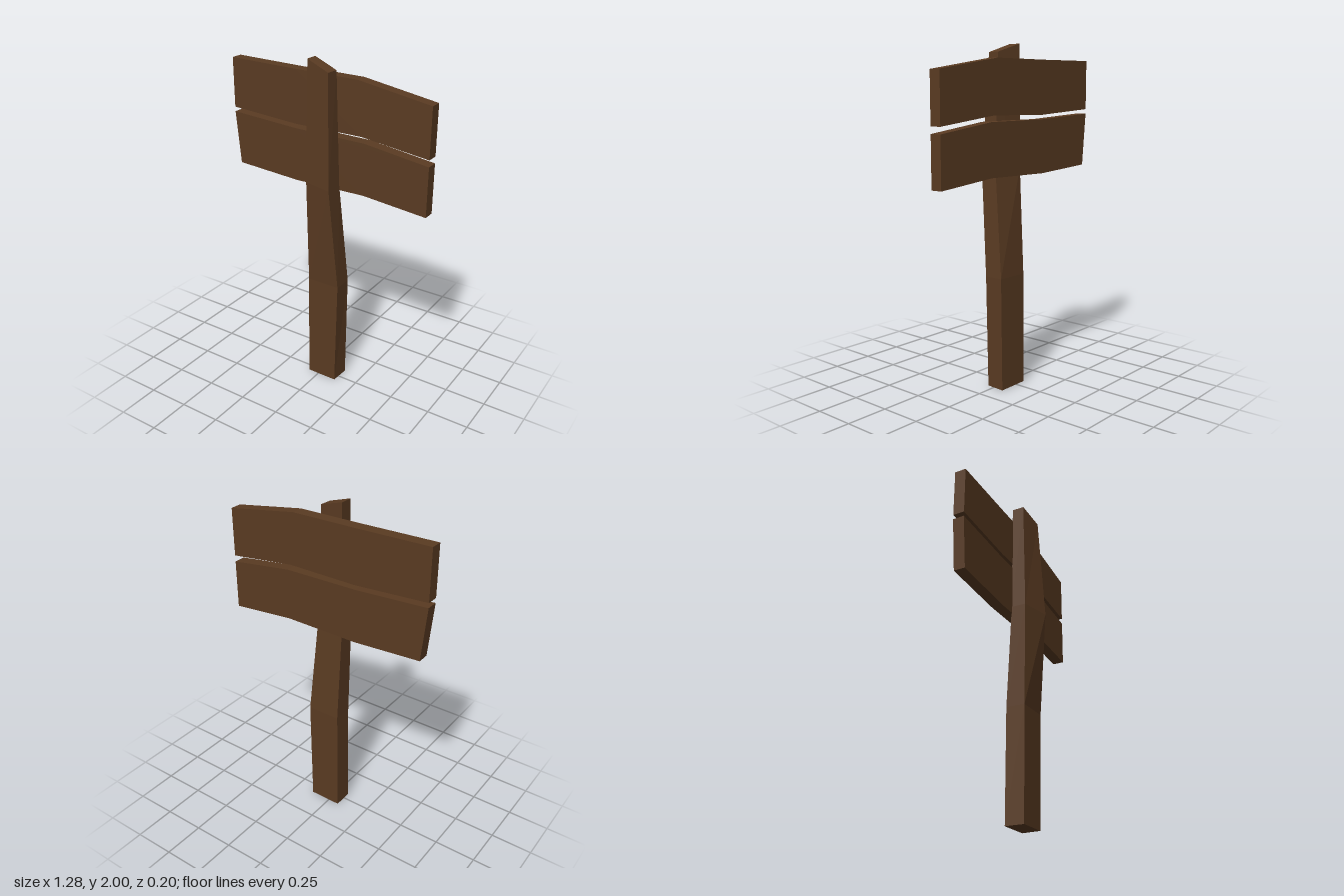
import * as THREE from 'three';

const wood = new THREE.MeshStandardMaterial({ color: 0x5a3b22 });
wood.name = 'dark brown wood';

// Faceted beam through four-cornered rings, listed bottom to top:
// front left, front right, back right, back left as seen from the front
function beam(rings) {
  const pos = [];
  const quad = (a, b, c, d) => [a, b, c, a, c, d].forEach(p => pos.push(...p));
  for (let i = 0; i < rings.length - 1; i++) {
    for (let j = 0; j < 4; j++) {
      const k = (j + 1) % 4;
      quad(rings[i][j], rings[i][k], rings[i + 1][k], rings[i + 1][j]);
    }
  }
  const top = rings[rings.length - 1];
  quad(top[0], top[1], top[2], top[3]);
  quad(rings[0][3], rings[0][2], rings[0][1], rings[0][0]);
  const geo = new THREE.BufferGeometry();
  geo.setAttribute('position', new THREE.Float32BufferAttribute(pos, 3));
  geo.computeVertexNormals();
  return geo;
}

// Board cut from an outline in the x/y plane
function board(outline) {
  const shape = new THREE.Shape(outline.map(([x, y]) => new THREE.Vector2(x, y)));
  const geo = new THREE.ExtrudeGeometry(shape, { depth: 0.07, bevelEnabled: false });
  return geo.translate(0, 0, -0.102);
}

export function createModel() {
  const group = new THREE.Group();
  group.name = 'signpost';
  const add = (name, geo) => {
    const mesh = new THREE.Mesh(geo, wood);
    mesh.name = name;
    group.add(mesh);
  };

  // Crooked post with a slanted, slightly twisted top
  add('post', beam([
    [[-0.07, 0, 0.045], [0.12, 0, 0.045], [0.127, 0, -0.07], [-0.07, 0, -0.07]],
    [[-0.065, 0.67, 0.045], [0.137, 0.67, 0.045], [0.137, 0.67, -0.07], [-0.065, 0.67, -0.07]],
    [[-0.073, 1.3, 0.055], [0.107, 1.3, 0.1], [0.11, 1.3, -0.006], [-0.073, 1.3, -0.035]],
    [[-0.068, 2, 0.04], [0.08, 1.95, 0.066], [0.086, 1.95, -0.006], [-0.068, 2, -0.035]],
  ]));

  // Two warped boards behind the post
  add('upperBoard', board([
    [-0.64, 1.625], [-0.2, 1.598], [0.23, 1.602], [0.64, 1.553],
    [0.64, 1.84], [0.2, 1.91], [-0.2, 1.913], [-0.64, 1.92],
  ]));
  add('lowerBoard', board([
    [-0.61, 1.28], [-0.2, 1.256], [0.25, 1.262], [0.64, 1.226],
    [0.64, 1.515], [0.25, 1.567], [-0.2, 1.572], [-0.64, 1.597],
  ]));

  return group;
}
